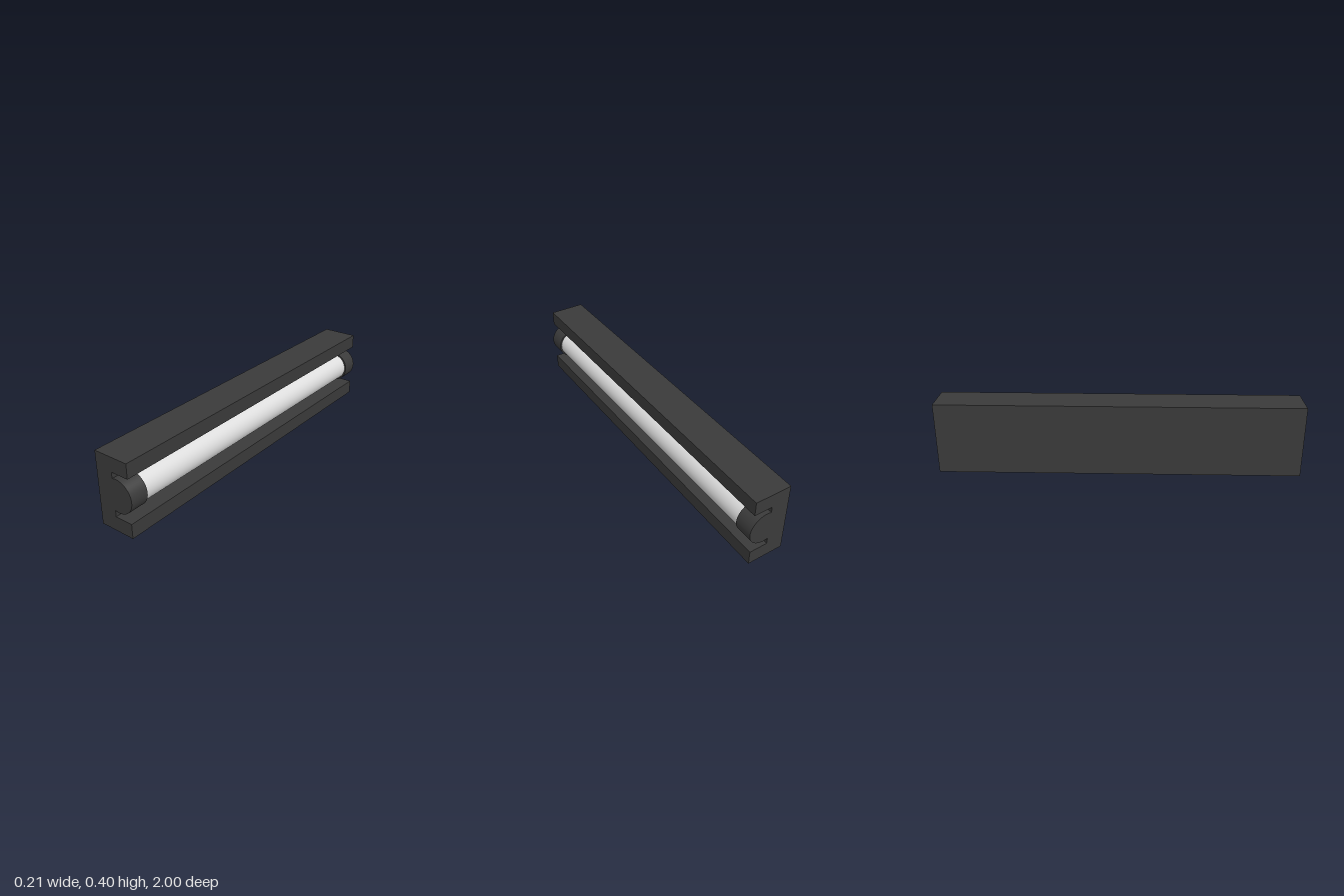
import * as THREE from 'three';

export function createModel() {
  const model = new THREE.Group();
  const darkGrey = new THREE.MeshStandardMaterial({ color: 0x3a3a3a });
  darkGrey.name = 'dark grey housing';
  const paleGrey = new THREE.MeshStandardMaterial({ color: 0xdddddd });
  paleGrey.name = 'pale grey tube';

  const add = (name, geometry, material) => {
    const mesh = new THREE.Mesh(geometry, material);
    mesh.name = name;
    model.add(mesh);
    return mesh;
  };

  // Channel housing: C-shaped section, open towards +x
  const section = new THREE.Shape([
    [-0.107, 0], [0.093, 0], [0.093, 0.08], [-0.008, 0.08],
    [-0.008, 0.32], [0.093, 0.32], [0.093, 0.4], [-0.107, 0.4],
  ].map(([x, y]) => new THREE.Vector2(x, y)));
  const housing = new THREE.ExtrudeGeometry(section, { depth: 2, bevelEnabled: false });
  housing.translate(0, 0, -1);
  add('housing', housing, darkGrey);

  // Round parts lying along z, partly sunk into the channel wall
  const rod = (name, radius, length, z, material) => {
    const geometry = new THREE.CylinderGeometry(radius, radius, length, 64);
    geometry.rotateX(Math.PI / 2);
    add(name, geometry, material).position.set(0.017, 0.201, z);
  };
  rod('lightTube', 0.081, 1.82, 0, paleGrey);
  rod('frontEndCap', 0.09, 0.1, 0.95, darkGrey);
  rod('backEndCap', 0.09, 0.1, -0.95, darkGrey);

  return model;
}
